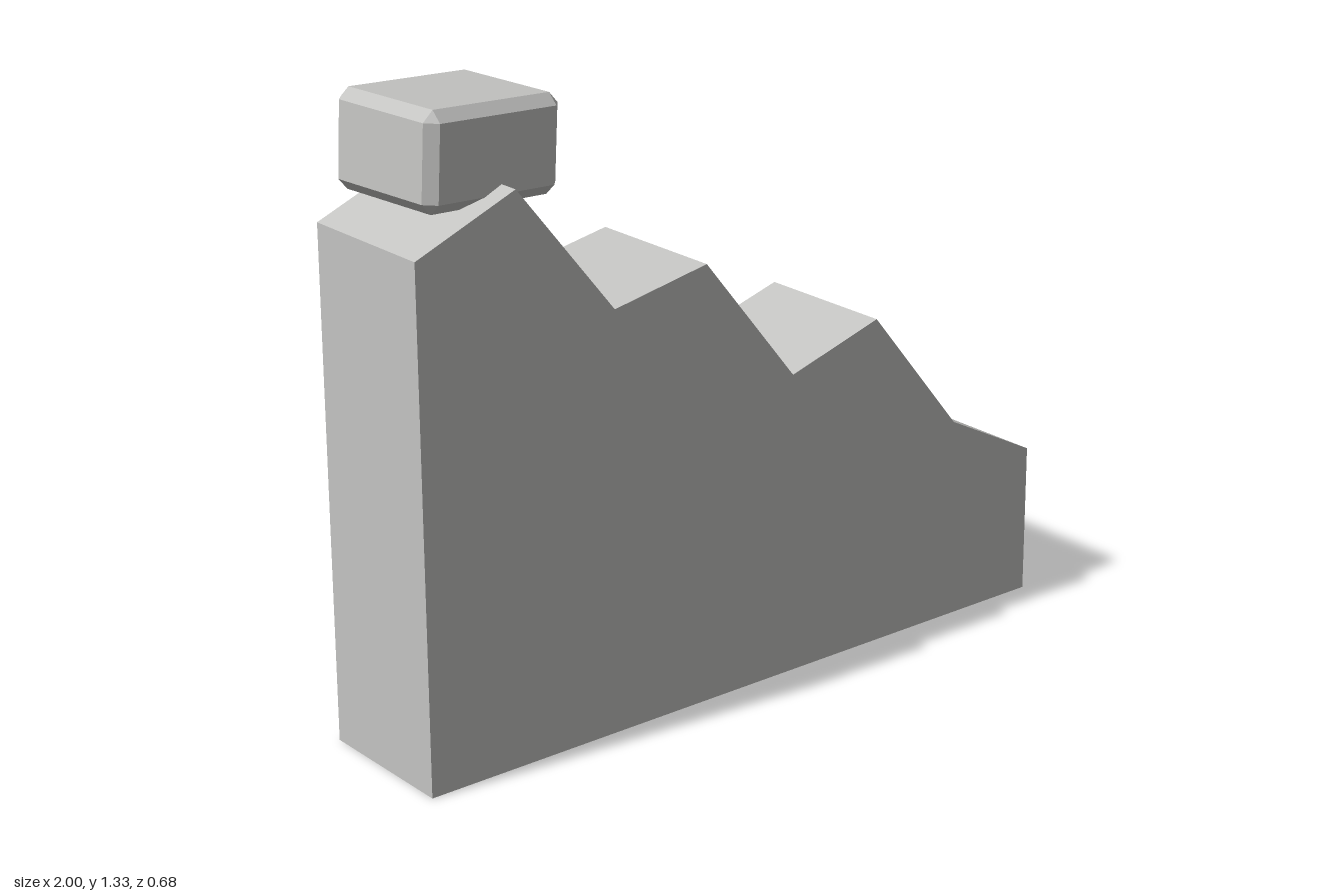
import * as THREE from 'three';
import { ConvexGeometry } from 'three/addons/geometries/ConvexGeometry.js';

// Box with a single flat chamfer along every edge
function chamferedBox(w, h, d, c) {
  const points = [];
  for (const sx of [-1, 1]) for (const sy of [-1, 1]) for (const sz of [-1, 1]) {
    const [x, y, z] = [w / 2, h / 2, d / 2];
    points.push(
      new THREE.Vector3(sx * x, sy * (y - c), sz * (z - c)),
      new THREE.Vector3(sx * (x - c), sy * y, sz * (z - c)),
      new THREE.Vector3(sx * (x - c), sy * (y - c), sz * z));
  }
  return new ConvexGeometry(points);
}

// Faceted stone: apex, upper ring and a flat-bottomed lower ring
function rockGeometry(apexX, apexZ, top, turn, rx, rz) {
  const points = [new THREE.Vector3(apexX, top, apexZ)];
  for (let i = 0; i < 5; i++) {
    const a = turn + (i * Math.PI * 2) / 5;
    const b = a + Math.PI / 5;
    const wobble = 0.006 * Math.sin(i * 2.3 + turn);
    points.push(new THREE.Vector3(Math.cos(a) * rx, 0.088 + wobble, Math.sin(a) * rz));
    points.push(new THREE.Vector3(Math.cos(b) * rx * 0.93, 0.02, Math.sin(b) * rz * 0.93));
  }
  return new ConvexGeometry(points);
}

export function createModel() {
  const model = new THREE.Group();
  model.name = 'ruinedWall';
  const stone = new THREE.MeshStandardMaterial({ color: 0xc4c4c2 });
  stone.name = 'stone grey';
  stone.flatShading = true;

  const add = (name, geometry, x, y, z) => {
    const mesh = new THREE.Mesh(geometry, stone);
    mesh.name = name;
    mesh.position.set(x, y, z);
    model.add(mesh);
    return mesh;
  };

  // Broken wall with a jagged, descending top
  const profile = [
    [-1, 0], [0.585, 0], [0.585, 0.33], [0.36, 0.445], [0.132, 0.725], [-0.095, 0.655],
    [-0.32, 0.935], [-0.547, 0.89], [-0.773, 1.17], [-1, 1.075],
  ].map(([x, y]) => new THREE.Vector2(x, y));
  add('brokenWall',
    new THREE.ExtrudeGeometry(new THREE.Shape(profile), { depth: 0.325, bevelEnabled: false }),
    0, 0, 0.015);

  // Loose block resting askew on the highest point
  const block = add('looseBlock', chamferedBox(0.325, 0.196, 0.288, 0.022), -0.792, 1.227, 0.153);
  block.rotation.set(0, 0.09, -0.06);

  // Fallen rubble: x, z, apex offset x/z, top, turn, radii
  const rubble = [
    [0.262, -0.24, 0.022, -0.015, 0.14, -1.3, 0.113, 0.103],
    [0.458, -0.162, 0.03, -0.003, 0.145, 0.35, 0.112, 0.105],
    [0.653, -0.185, -0.002, -0.005, 0.13, 0.0, 0.116, 0.104],
    [0.892, -0.24, 0.003, -0.008, 0.15, Math.PI, 0.115, 0.105],
  ];
  rubble.forEach(([x, z, ...shape], i) => add('rubbleStone' + (i + 1), rockGeometry(...shape), x, 0, z));

  return model;
}
